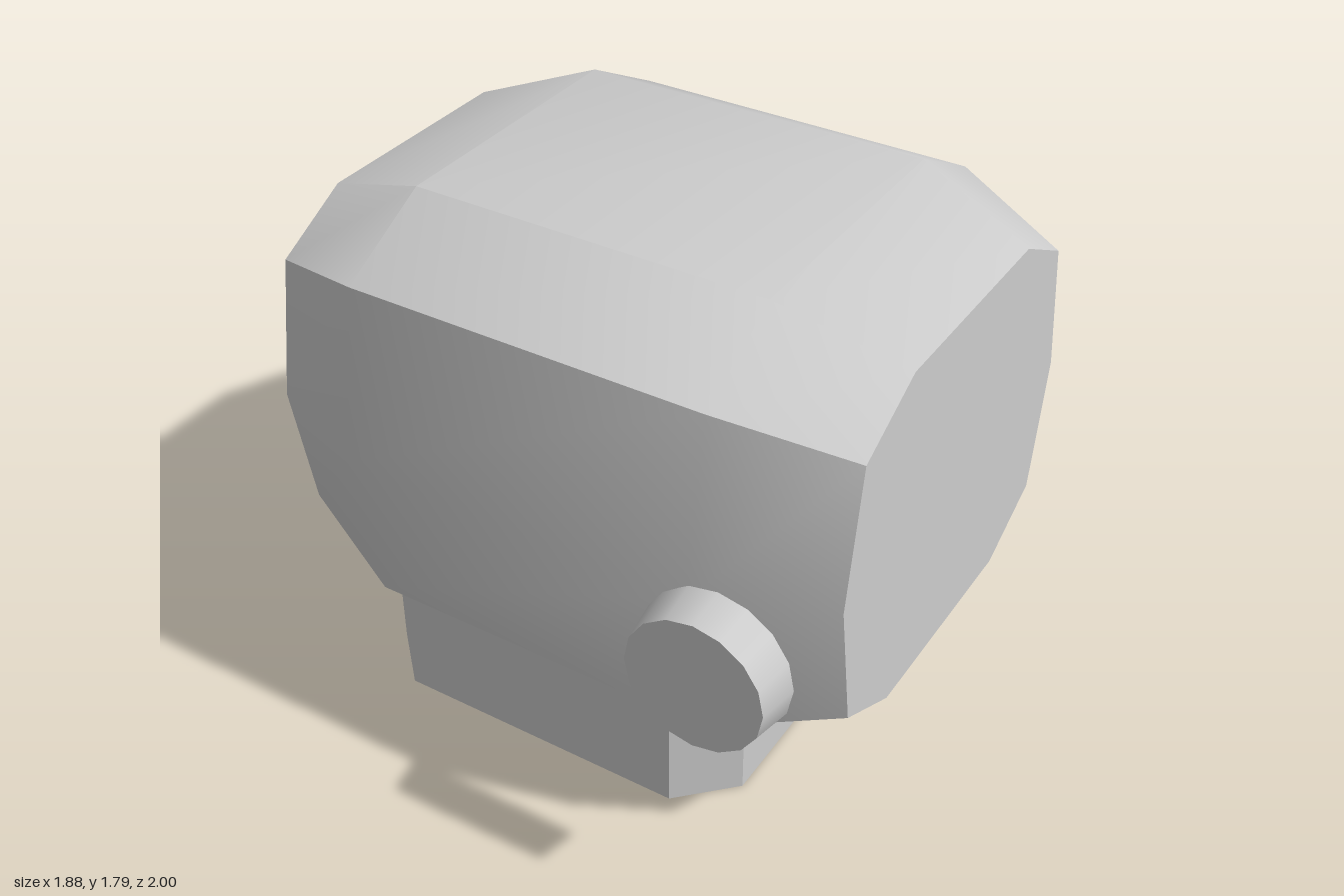
import * as THREE from 'three';
import { toCreasedNormals } from 'three/addons/utils/BufferGeometryUtils.js';

const CENTRE_Z = 0.03;

// Ten-sided barrel section as [z, y] offsets, swept along x with narrowed ends
function barrelGeometry() {
  const section = [
    [0.445, 0.70], [-0.445, 0.70], [-0.76, 0.535], [-0.85, 0], [-0.76, -0.535],
    [-0.445, -0.70], [0.445, -0.70], [0.76, -0.535], [0.85, 0], [0.76, 0.535],
  ];
  const stations = [[-0.94, 0.805], [-0.565, 1], [0.565, 1], [0.94, 0.805]];
  const n = section.length;
  const last = stations.length - 1;
  const positions = [];
  const index = [];
  for (const [x, s] of stations) {
    for (const [z, y] of section) positions.push(x, 1.09 + y * s, CENTRE_Z + z * s);
  }
  // Side panels
  for (let s = 0; s < last; s++) {
    for (let i = 0; i < n; i++) {
      const j = (i + 1) % n;
      const a = s * n + i, b = a + n, c = (s + 1) * n + j, d = s * n + j;
      index.push(a, b, c, a, c, d);
    }
  }
  // Flat ends
  const e = last * n;
  for (let i = 1; i < n - 1; i++) {
    index.push(0, i, i + 1);
    index.push(e, e + i + 1, e + i);
  }
  const geometry = new THREE.BufferGeometry();
  geometry.setAttribute('position', new THREE.Float32BufferAttribute(positions, 3));
  geometry.setIndex(index);
  return toCreasedNormals(geometry, 0.62);
}

// Block with chamfered vertical corners, standing on y = 0
function baseGeometry(width, depth, height, chamfer) {
  const w = width / 2, d = depth / 2, c = chamfer;
  const outline = new THREE.Shape([
    [w - c, -d], [w, -d + c], [w, d - c], [w - c, d],
    [-w + c, d], [-w, d - c], [-w, -d + c], [-w + c, -d],
  ].map(([x, y]) => new THREE.Vector2(x, y)));
  const geometry = new THREE.ExtrudeGeometry(outline, { depth: height, bevelEnabled: false });
  return geometry.rotateX(-Math.PI / 2);
}

// Tapered round knob along z; direction is +1 for the front, -1 for the back
function knobGeometry(outerRadius, innerRadius, length, direction) {
  return new THREE.CylinderGeometry(outerRadius, innerRadius, length, 16)
    .rotateX(direction * Math.PI / 2);
}

export function createModel() {
  const model = new THREE.Group();
  model.name = 'barrelHousing';
  const grey = new THREE.MeshStandardMaterial({ color: 0xcccccc });
  grey.name = 'light grey';

  const add = (name, geometry, x, y, z) => {
    const mesh = new THREE.Mesh(geometry, grey);
    mesh.name = name;
    mesh.position.set(x, y, z);
    model.add(mesh);
  };

  add('body', barrelGeometry(), 0, 0, 0);
  add('base', baseGeometry(1.32, 1.2, 0.41, 0.165), -0.14, 0, CENTRE_Z);
  add('frontKnob', knobGeometry(0.21, 0.23, 0.125, 1), 0.66, 0.925, 0.9375);
  add('backKnob', knobGeometry(0.423, 0.467, 0.175, -1), 0.33, 1.007, -0.9125);
  return model;
}
